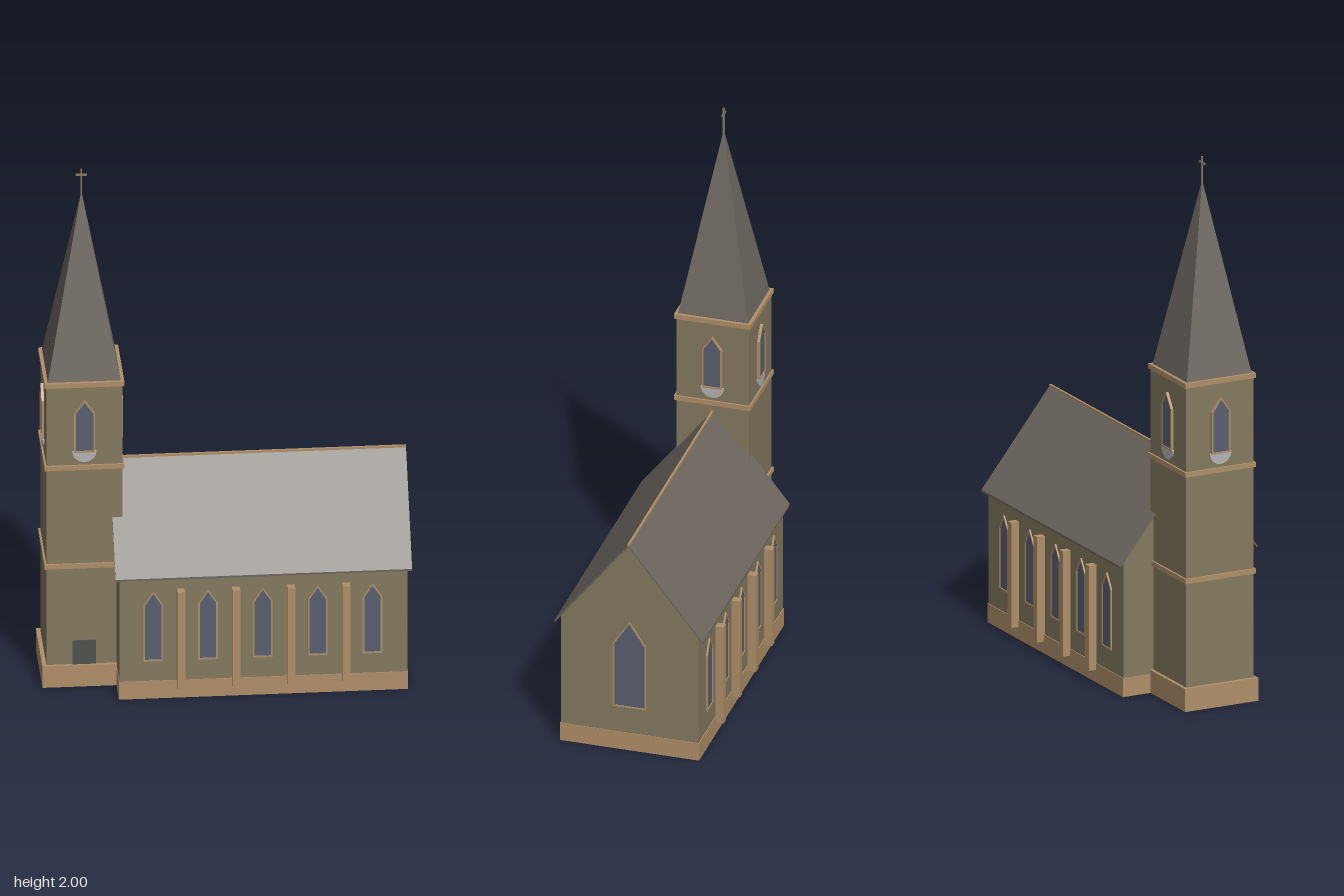
import * as THREE from 'three';

const mat = (color, side = THREE.FrontSide) =>
  new THREE.MeshStandardMaterial({ color, side, flatShading: true });
const WALL = mat(0x857a60), TRIM = mat(0xb08f69), ROOF = mat(0x6e6860, THREE.DoubleSide);
const GLASS = mat(0x5a6070), DOOR = mat(0x50524f), PALE = mat(0xb4b4b4), METAL = mat(0x857a60);

function add(parent, name, geometry, material, x = 0, y = 0, z = 0) {
  const mesh = new THREE.Mesh(geometry, material);
  mesh.name = name;
  mesh.position.set(x, y, z);
  parent.add(mesh);
  return mesh;
}

// Box given by its limits in x, y and z
function block(parent, name, material, x0, x1, y0, y1, z0, z1) {
  return add(parent, name, new THREE.BoxGeometry(x1 - x0, y1 - y0, z1 - z0), material,
    (x0 + x1) / 2, (y0 + y1) / 2, (z0 + z1) / 2);
}

const polygon = (points) => new THREE.Shape(points.map(([x, y]) => new THREE.Vector2(x, y)));
const extrude = (shape, depth) =>
  new THREE.ExtrudeGeometry(shape, { depth, bevelEnabled: false });

// Pointed outline standing on y = 0
const lancet = (w, shoulder, top, inset = 0) => [
  [-w / 2 + inset, inset], [w / 2 - inset, inset], [w / 2 - inset, shoulder],
  [0, top - inset * 1.5], [-w / 2 + inset, shoulder]];

// Framed lancet window facing +z before it is turned
function lancetWindow(name, w, shoulder, top, depth) {
  const g = new THREE.Group();
  g.name = name;
  const rim = 0.006;
  const frame = polygon(lancet(w, shoulder, top));
  frame.holes.push(polygon(lancet(w, shoulder, top, rim)));
  add(g, 'windowFrame', extrude(frame, depth + 0.01), TRIM, 0, 0, -0.01);
  add(g, 'windowPane', extrude(polygon(lancet(w, shoulder, top, rim)), depth + 0.007), GLASS, 0, 0, -0.01);
  return g;
}

function buildNave() {
  const nave = new THREE.Group();
  nave.name = 'nave';
  const x0 = -0.39, x1 = 0.635, half = 0.255;

  // Walls with gables, swept along x
  const section = polygon([[-half, 0.02], [half, 0.02], [half, 0.508], [0, 0.832], [-half, 0.508]]);
  const walls = add(nave, 'naveWalls', extrude(section, x1 - x0), WALL, x0, 0, 0);
  walls.rotation.y = Math.PI / 2;
  block(nave, 'navePlinth', TRIM, x0 - 0.002, x1 + 0.002, 0, 0.07, -half - 0.003, half + 0.003);

  // Thin gabled roof and its ridge
  const roofSection = polygon([[-0.275, 0.482], [0, 0.832], [0.275, 0.482],
    [0.275, 0.49], [0, 0.84], [-0.275, 0.49]]);
  const roof = add(nave, 'naveRoof', extrude(roofSection, 1.055), ROOF, -0.405, 0, 0);
  roof.rotation.y = Math.PI / 2;
  block(nave, 'roofRidge', TRIM, -0.405, 0.65, 0.833, 0.843, -0.004, 0.004);

  // Windows and buttresses on both long sides
  for (const side of [1, -1]) {
    for (let i = 0; i < 5; i++) {
      const win = lancetWindow('naveWindow', 0.07, 0.225, 0.28, 0.006);
      win.position.set(-0.27 + i * 0.195, 0.15, side * half);
      win.rotation.y = side > 0 ? 0 : Math.PI;
      nave.add(win);
    }
    for (let i = 0; i < 4; i++) {
      add(nave, 'buttress', new THREE.BoxGeometry(0.028, 0.39, 0.036), TRIM,
        -0.172 + i * 0.196, 0.24, side * 0.268);
    }
  }

  // Large gable window
  const gable = lancetWindow('gableWindow', 0.124, 0.255, 0.35, 0.005);
  gable.position.set(x1, 0.172, 0);
  gable.rotation.y = Math.PI / 2;
  nave.add(gable);
  return nave;
}

function buildTower() {
  const tower = new THREE.Group();
  tower.name = 'tower';
  tower.position.x = -0.505;
  const half = 0.135;

  block(tower, 'towerWalls', WALL, -half, half, 0.02, 1.21, -half, half);
  block(tower, 'towerPlinth', TRIM, -0.15, 0.15, 0, 0.085, -0.147, 0.147);
  for (const y of [0.48, 0.875, 1.205]) {
    block(tower, 'stringCourse', TRIM, -0.142, 0.142, y - 0.009, y + 0.009, -0.142, 0.142);
  }
  block(tower, 'door', DOOR, -0.042, 0.042, 0.085, 0.18, half - 0.01, half + 0.003);

  // Belfry window with a half-round sill on each face
  for (let i = 0; i < 4; i++) {
    const face = new THREE.Group();
    face.name = 'belfryFace';
    face.rotation.y = i * Math.PI / 2;
    const win = lancetWindow('belfryWindow', 0.074, 0.155, 0.208, 0.01);
    win.position.set(0, 0.937, half);
    face.add(win);
    const sill = new THREE.Shape();
    sill.absarc(0, 0, 0.043, Math.PI, Math.PI * 2, false);
    add(face, 'halfRoundSill', extrude(sill, 0.016), PALE, 0, 0.94, half - 0.01);
    tower.add(face);
  }

  // Pyramid spire
  const spire = new THREE.ConeGeometry(0.13 * Math.SQRT2, 0.7, 4);
  spire.rotateY(Math.PI / 4);
  add(tower, 'spire', spire, ROOF, 0, 1.562, 0);

  // Cross at the tip
  block(tower, 'crossPost', METAL, -0.003, 0.003, 1.89, 2, -0.003, 0.003);
  block(tower, 'crossArm', METAL, -0.02, 0.02, 1.972, 1.979, -0.003, 0.003);
  return tower;
}

export function createModel() {
  const model = new THREE.Group();
  model.name = 'church';
  model.add(buildNave(), buildTower());
  return model;
}
